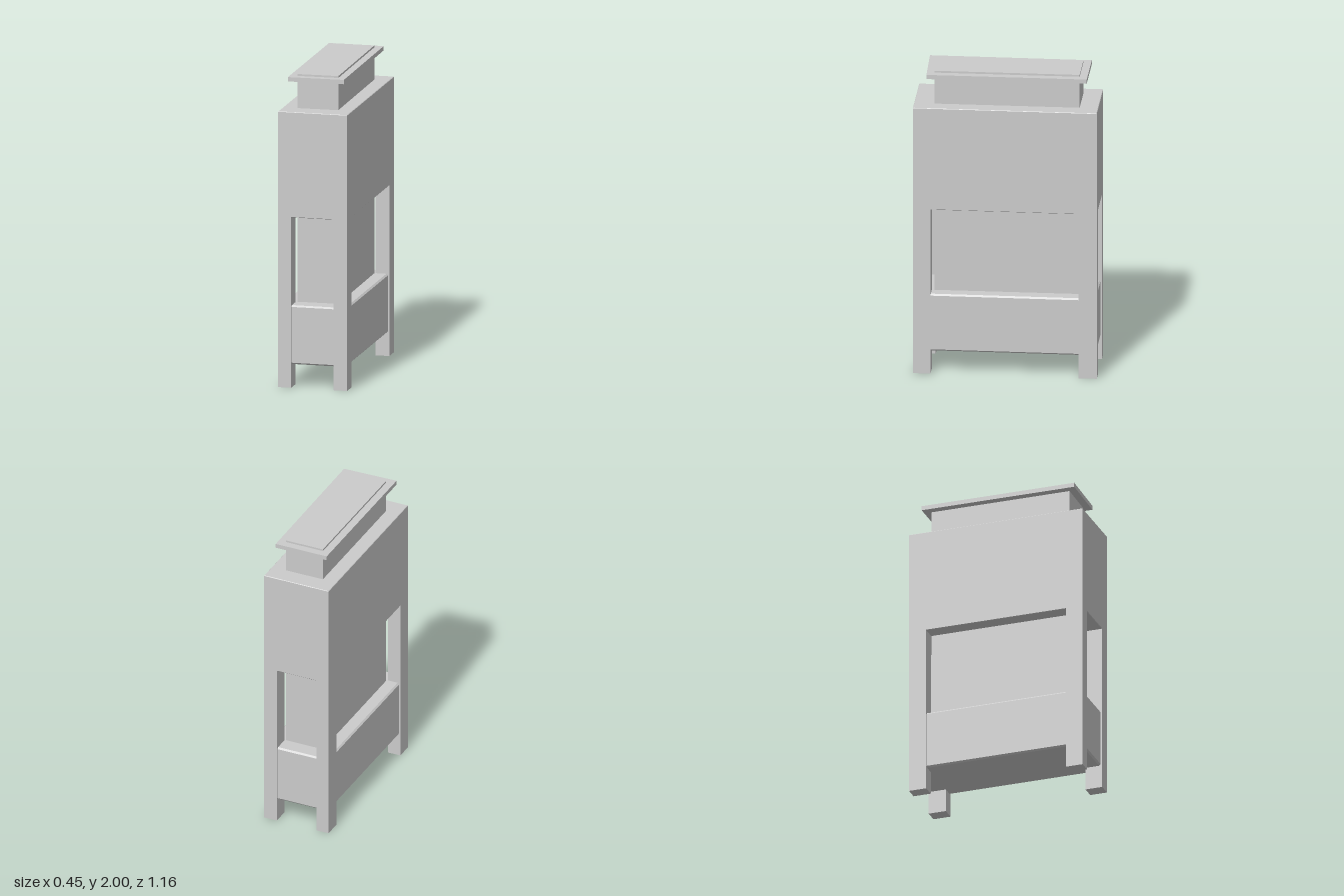
import * as THREE from 'three';

const material = new THREE.MeshStandardMaterial({ color: 0xcccccc, flatShading: true });

// Box between two corners
function box(name, x0, x1, y0, y1, z0, z1) {
  const g = new THREE.BoxGeometry(x1 - x0, y1 - y0, z1 - z0);
  g.translate((x0 + x1) / 2, (y0 + y1) / 2, (z0 + z1) / 2);
  const mesh = new THREE.Mesh(g, material);
  mesh.name = name;
  return mesh;
}

// Vertical prism over a plan outline of [x, z] points, with optional chamfer
function prism(name, outline, y0, y1, bevel = 0) {
  const shape = new THREE.Shape(outline.map(([x, z]) => new THREE.Vector2(x, -z)));
  const g = new THREE.ExtrudeGeometry(shape, {
    depth: y1 - y0 - 2 * bevel, bevelEnabled: bevel > 0,
    bevelSize: bevel, bevelThickness: bevel, bevelOffset: -bevel, bevelSegments: 1,
  });
  g.rotateX(-Math.PI / 2);
  g.translate(0, y0 + bevel, 0);
  const mesh = new THREE.Mesh(g, material);
  mesh.name = name;
  return mesh;
}

const rect = (x, z) => [[-x, z], [x, z], [x, -z], [-x, -z]];

export function createModel() {
  const model = new THREE.Group();
  model.name = 'tower';

  // Upper housing
  model.add(prism('upperHousing', rect(0.225, 0.582), 1.1, 1.78, 0.003));

  // Four corner legs, flush with the housing
  const legs = new THREE.Group();
  legs.name = 'legs';
  for (const [x0, x1] of [[-0.225, -0.14], [0.136, 0.225]]) {
    for (const [z0, z1] of [[-0.582, -0.467], [0.47, 0.582]]) {
      legs.add(box('leg', x0, x1, 0, 1.11, z0, z1));
    }
  }
  model.add(legs);

  // Chamfered base block held between the legs
  model.add(prism('baseBlock', rect(0.216, 0.572), 0.15, 0.53, 0.01));

  // Slightly skewed inner column, running from the base up through the cap
  model.add(prism('innerColumn',
    [[-0.13, 0.46], [0.134, 0.454], [0.128, -0.465], [-0.13, -0.465]], 0.5, 2));

  // Overhanging cap
  model.add(prism('cap',
    [[-0.18, 0.51], [0.182, 0.5], [0.176, -0.514], [-0.18, -0.514]], 1.96, 1.988));

  return model;
}
